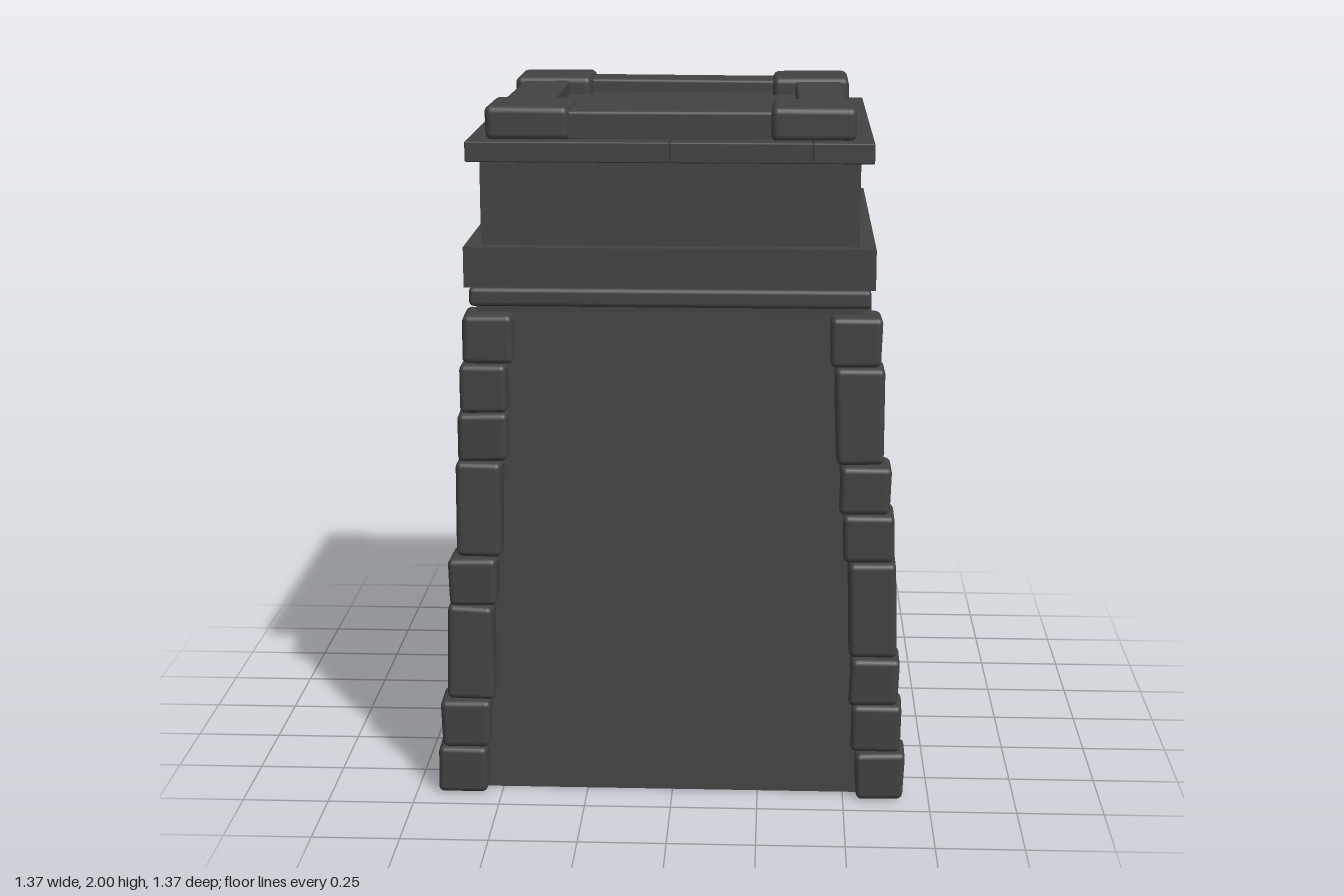
import * as THREE from 'three';
import { RoundedBoxGeometry } from 'three/addons/geometries/RoundedBoxGeometry.js';

// Dark stone
const material = new THREE.MeshStandardMaterial({ color: 0x424242, side: THREE.DoubleSide });

let seed = 7;
const jitter = (amount) => {
  seed = (seed * 16807) % 2147483647;
  return (seed / 2147483647 * 2 - 1) * amount;
};

function addMesh(parent, name, geometry, x = 0, y = 0, z = 0) {
  const mesh = new THREE.Mesh(geometry, material);
  mesh.name = name;
  mesh.position.set(x, y, z);
  parent.add(mesh);
  return mesh;
}

// Square slab between two heights
function addSlab(parent, name, half, y0, y1, bevel = 0) {
  const h = y1 - y0;
  const geometry = bevel
    ? new RoundedBoxGeometry(half * 2, h, half * 2, 2, bevel)
    : new THREE.BoxGeometry(half * 2, h, half * 2);
  return addMesh(parent, name, geometry, 0, (y0 + y1) / 2, 0);
}

// Worn stone: rounded box with each corner pushed a little
function stoneGeometry(w, h, d, radius, wear) {
  const geometry = new RoundedBoxGeometry(w, h, d, 3, radius);
  const p = geometry.attributes.position;
  const push = Array.from({ length: 8 }, () => [jitter(wear), jitter(wear * 0.5), jitter(wear)]);
  for (let i = 0; i < p.count; i++) {
    const u = p.getX(i) / w + 0.5, v = p.getY(i) / h + 0.5, t = p.getZ(i) / d + 0.5;
    const moved = [p.getX(i), p.getY(i), p.getZ(i)];
    for (let c = 0; c < 8; c++) {
      const weight = (c & 1 ? u : 1 - u) * (c & 2 ? v : 1 - v) * (c & 4 ? t : 1 - t);
      for (let k = 0; k < 3; k++) moved[k] += push[c][k] * weight;
    }
    p.setXYZ(i, ...moved);
  }
  return geometry;
}

// Column of corner stones stepping inward with the walls; tall stones lean slightly
function cornerPost(sx, sz) {
  const post = new THREE.Group();
  post.name = 'cornerPost';
  const courses = sx * sz > 0 ? [1, 1, 1, 2, 1, 1, 2, 1] : [1, 1, 2, 1, 2, 1, 1, 1];
  const unit = 0.1415, slope = 0.065, lean = 0.015;
  let y = 0;
  courses.forEach((units, i) => {
    const h = units * unit, mid = y + h / 2;
    const c = 0.614 - slope * mid;
    const wobble = i ? 0.004 : 0;
    const width = units > 1 ? 0.137 : 0.143;
    const stone = addMesh(post, 'cornerStone', stoneGeometry(width, h, width, 0.017, 0.005),
      sx * c - 0.003 + jitter(wobble), mid, sz * c + jitter(wobble));
    if (units > 1) stone.rotation.set(-sz * lean, 0, sx * lean);
    y += h;
  });
  return post;
}

export function createModel() {
  seed = 7;
  const model = new THREE.Group();
  model.name = 'stonePedestal';

  // Tapered hollow walls, open underneath
  const walls = new THREE.CylinderGeometry(0.53 * Math.SQRT2, 0.62 * Math.SQRT2, 1.43, 4, 1, true)
    .rotateY(Math.PI / 4).toNonIndexed();
  walls.computeVertexNormals();
  addMesh(model, 'taperedWalls', walls, -0.008, 0.715, 0);

  // Corner posts
  for (const sx of [-1, 1]) for (const sz of [-1, 1]) model.add(cornerPost(sx, sz));

  // Everything above the walls
  const head = new THREE.Group();
  head.name = 'head';
  head.position.set(-0.01, 0, 0.004);
  model.add(head);
  addSlab(head, 'neck', 0.55, 1.42, 1.45);
  addSlab(head, 'roundedMoulding', 0.57, 1.437, 1.492, 0.014);
  addSlab(head, 'mouldingGap', 0.55, 1.48, 1.5);
  addSlab(head, 'lowerLedge', 0.581, 1.495, 1.61);
  addSlab(head, 'upperBlock', 0.535, 1.61, 1.88);
  addSlab(head, 'topPanel', 0.42, 1.87, 1.945);

  // Four sides: ledge stones in a pinwheel, one frame stone and one corner stone each
  for (let i = 0; i < 4; i++) {
    const side = new THREE.Group();
    side.name = 'topSide';
    side.rotation.y = -i * Math.PI / 2;
    head.add(side);
    for (const [a, b] of [[-0.4, 0], [0, 0.572]]) {
      addMesh(side, 'ledgeStone', new RoundedBoxGeometry(b - a, 0.058, 0.172, 2, 0.004),
        (a + b) / 2, 1.878, -0.486);
    }
    addMesh(side, 'frameStone', stoneGeometry(0.62, 0.085, 0.146, 0.01, 0.005), 0, 1.943, -0.428);
    addMesh(side, 'topCornerStone', stoneGeometry(0.238, 0.097, 0.238, 0.02, 0.003), -0.402, 1.951, -0.402);
  }
  return model;
}
